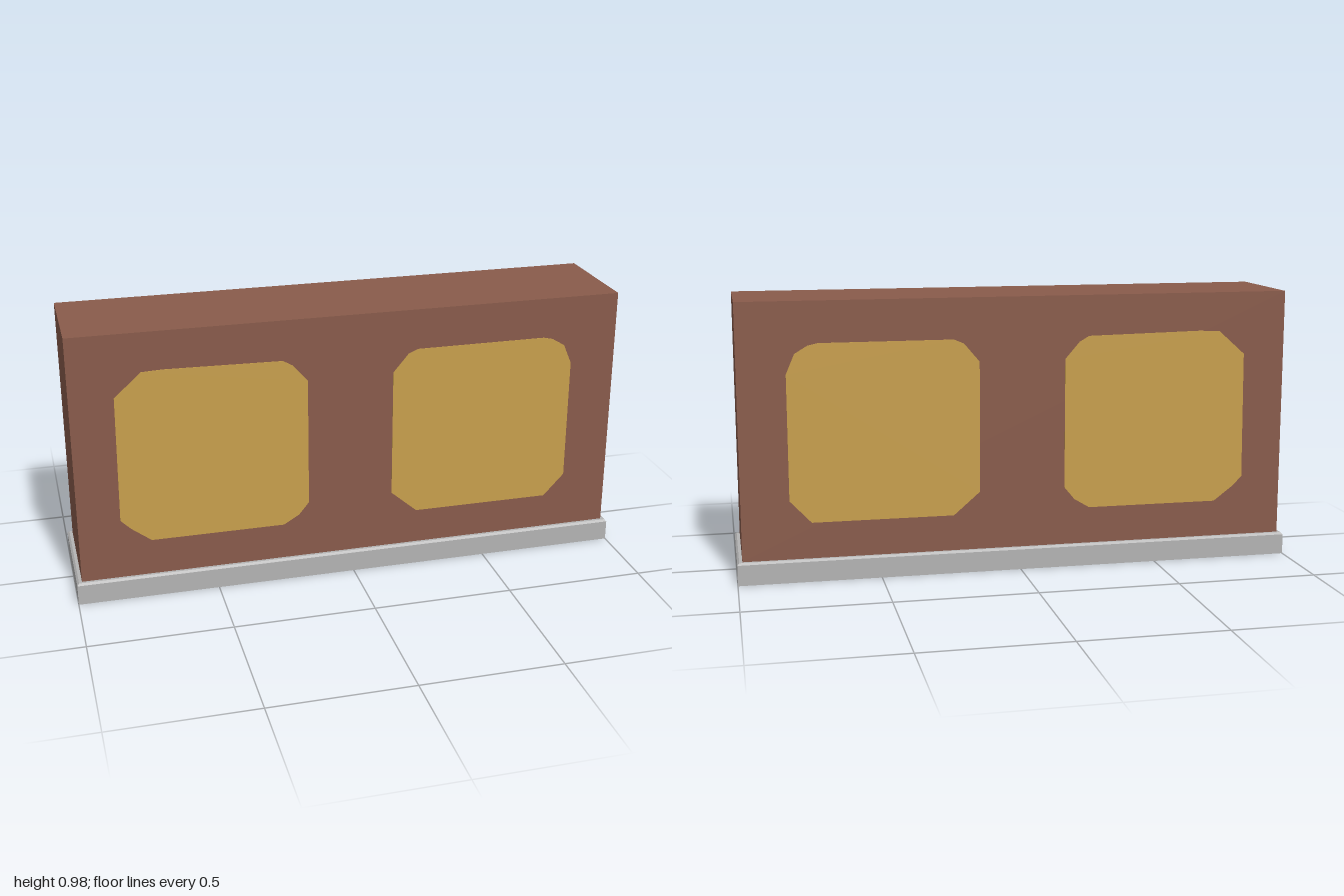
import * as THREE from 'three';

const brown = new THREE.MeshStandardMaterial({ color: 0x895b4b });
brown.name = 'brownBody';
const ochre = new THREE.MeshStandardMaterial({ color: 0xc89f4d });
ochre.name = 'ochrePanel';
const grey = new THREE.MeshStandardMaterial({ color: 0xb4b4b4 });
grey.name = 'greyBase';

const BODY = { w: 1.964, h: 0.9, d: 0.393 };
const BASE = { w: 2, h: 0.08, d: 0.428, bevel: 0.007 };

// Slightly uneven panel outlines with cut corners, shared by front and back
const outlines = {
  leftPanel: [
    [0.145, 0.29], [0.24, 0.208], [0.74, 0.208], [0.815, 0.288], [0.815, 0.73],
    [0.785, 0.8], [0.74, 0.827], [0.705, 0.835], [0.235, 0.835], [0.2, 0.82], [0.145, 0.755],
  ],
  rightPanel: [
    [-0.835, 0.3], [-0.8, 0.265], [-0.73, 0.212], [-0.255, 0.212], [-0.2, 0.245], [-0.163, 0.29],
    [-0.163, 0.755], [-0.215, 0.815], [-0.25, 0.835], [-0.66, 0.843], [-0.735, 0.84], [-0.83, 0.755],
  ],
};

function addMesh(group, name, geometry, material) {
  const mesh = new THREE.Mesh(geometry, material);
  mesh.name = name;
  group.add(mesh);
  return mesh;
}

export function createModel() {
  const model = new THREE.Group();
  model.name = 'panelledBlock';

  // Base slab with a narrow bevel round its top edge
  const { w, h, d, bevel } = BASE;
  const slab = new THREE.BoxGeometry(w, h, d, 1, 2, 1);
  const p = slab.attributes.position;
  for (let i = 0; i < p.count; i++) {
    const y = p.getY(i);
    if (y > 0.01) {
      p.setX(i, p.getX(i) - Math.sign(p.getX(i)) * bevel);
      p.setZ(i, p.getZ(i) - Math.sign(p.getZ(i)) * bevel);
    } else if (y > -0.01) p.setY(i, h / 2 - bevel);
  }
  const flat = slab.toNonIndexed();
  flat.computeVertexNormals();
  addMesh(model, 'baseSlab', flat, grey).position.y = h / 2;

  // Main block
  const block = new THREE.BoxGeometry(BODY.w, BODY.h, BODY.d);
  addMesh(model, 'body', block, brown).position.y = h + BODY.h / 2;

  // Thin panels on both large faces
  const plate = 0.002;
  for (const [name, points] of Object.entries(outlines)) {
    const shape = new THREE.Shape(points.map(([x, y]) => new THREE.Vector2(x, y)));
    const geometry = new THREE.ExtrudeGeometry(shape, { depth: plate, bevelEnabled: false });
    addMesh(model, name + 'Front', geometry, ochre).position.z = BODY.d / 2;
    addMesh(model, name + 'Back', geometry, ochre).position.z = -BODY.d / 2 - plate;
  }

  return model;
}
